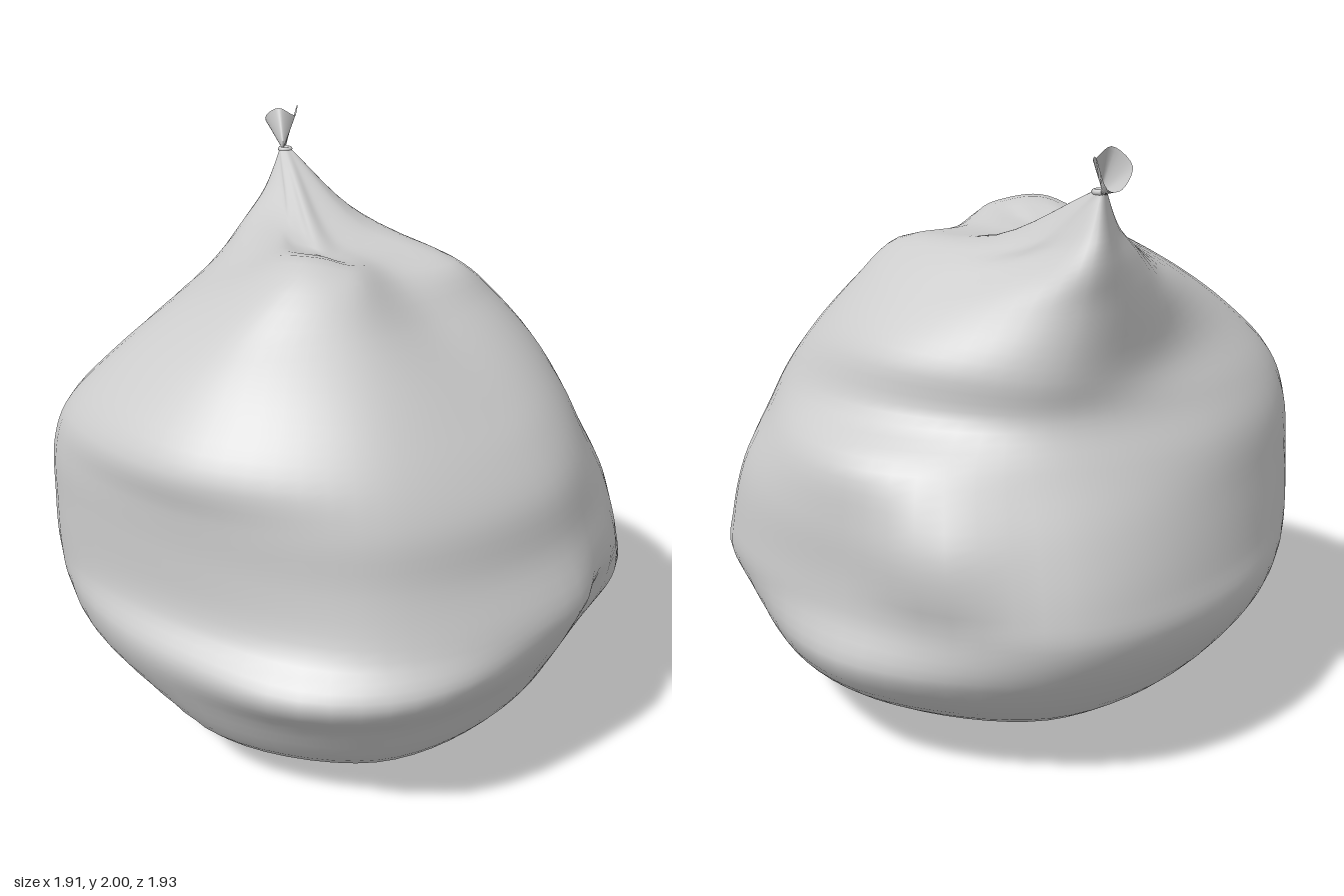
import * as THREE from 'three';

const AROUND = 64;
const V = (p) => new THREE.Vector3(...p);

// Smooth skin through rings of control points, listed bottom to top.
function loft(rings, steps, around, relief = () => 0) {
  const loops = rings.map((r) => {
    const c = new THREE.CatmullRomCurve3(r, true, 'centripetal');
    return Array.from({ length: around }, (_, j) => c.getPoint(j / around));
  });
  const rows = (rings.length - 1) * steps;
  const pos = new Float32Array((rows + 1) * around * 3);
  const index = [];
  for (let j = 0; j < around; j++) {
    const meridian = new THREE.CatmullRomCurve3(loops.map((l) => l[j]), false, 'centripetal');
    for (let i = 0; i <= rows; i++) {
      const p = meridian.getPoint(i / rows);
      const a = (j / around) * Math.PI * 2;
      const d = relief(i / steps, a);
      p.x += d * Math.cos(a);
      p.z += d * Math.sin(a);
      p.toArray(pos, (i * around + j) * 3);
      if (i < rows) {
        const k = (j + 1) % around;
        const A = i * around + j, B = i * around + k;
        index.push(A, A + around, B, B, A + around, B + around);
      }
    }
  }
  const g = new THREE.BufferGeometry();
  g.setAttribute('position', new THREE.BufferAttribute(pos, 3));
  g.setIndex(index);
  g.computeVertexNormals();
  return g;
}

// Level ring: radii at eight compass points, from +x round through +z.
function levelRing(y, radii, cx = 0, cz = 0) {
  return radii.map((r, k) => {
    const a = (k / 8) * Math.PI * 2;
    return new THREE.Vector3(cx + r * Math.cos(a), y, cz + r * Math.sin(a));
  });
}

// Lumps and dents of the contents: ring, angle, ring spread, angle spread, depth
const lumps = [
  [5.7, 5.93, 1, 0.2, 0.06],
  [3.5, 0.98, 1, 0.2, 0.04],
  [4.3, 1.33, 1.3, 0.14, -0.045],
  [4, 2.7, 0.8, 0.25, 0.035],
];

function sackRelief(ring, a) {
  // Pleats fade in below the knot and out again at the neck
  const w = Math.max(0, 1 - Math.abs(ring - 11.7) / 1.3);
  let d = 0.012 * w * Math.sin(6 * a + 0.6);
  for (const [r0, a0, rs, as, depth] of lumps) {
    d += depth * Math.exp(-(((ring - r0) / rs) ** 2) - ((a - a0) / as) ** 2);
  }
  return d;
}

export function createModel() {
  const group = new THREE.Group();
  const mat = new THREE.MeshStandardMaterial({
    color: 0xcccccc, roughness: 0.8, side: THREE.DoubleSide,
  });

  // Sagging body: height, then radii
  const belly = [
    [0.025, 0.33, 0.46, 0.5, 0.46, 0.38, 0.3, 0.2, 0.32],
    [0.15, 0.7, 0.74, 0.69, 0.76, 0.74, 0.58, 0.66, 0.72],
    [0.38, 0.95, 0.87, 0.84, 0.93, 0.9, 0.94, 0.9, 0.96],
    [0.54, 0.91, 0.95, 0.925, 1.035, 0.95, 1.01, 0.97, 1.03],
    [0.66, 0.9, 0.95, 0.965, 0.96, 0.88, 1.03, 0.95, 1.01],
    [0.85, 0.9, 0.91, 0.89, 0.9, 0.865, 1.03, 0.91, 0.93],
    [1.03, 0.87, 0.82, 0.84, 0.87, 0.87, 1.02, 0.86, 0.82],
    [1.17, 0.71, 0.75, 0.74, 0.81, 0.88, 0.97, 0.77, 0.745],
  ].map(([y, ...r]) => levelRing(y, r));

  // Shoulders and slumped top, drawn off-centre towards the knot
  const shoulder = [
    [0.67, 1.33, -0.05], [0.47, 1.33, 0.45], [0, 1.29, 0.61], [-0.49, 1.33, 0.48],
    [-0.75, 1.34, 0], [-0.57, 1.34, -0.57], [0.06, 1.3, -0.68], [0.52, 1.3, -0.545],
  ].map(V);
  const slope = [
    [0.55, 1.47, -0.1], [0.37, 1.5, 0.34], [0, 1.48, 0.37], [-0.36, 1.52, 0.31],
    [-0.58, 1.5, 0], [-0.4, 1.5, -0.43], [0.1, 1.48, -0.65], [0.47, 1.5, -0.58],
  ].map(V);
  const hump = [
    [0.44, 1.59, -0.2], [0.28, 1.615, 0.25], [0.02, 1.625, 0.18], [-0.2, 1.68, 0.17],
    [-0.29, 1.705, 0.04], [-0.2, 1.63, -0.29], [0.18, 1.63, -0.62], [0.45, 1.63, -0.6],
  ].map(V);
  const gather = [
    [0.415, 1.7, -0.4], [0.28, 1.67, -0.15], [0.12, 1.65, -0.13], [0, 1.65, -0.12],
    [0.01, 1.65, -0.22], [0.1, 1.69, -0.4], [0.27, 1.74, -0.6], [0.41, 1.74, -0.6],
  ].map(V);
  const neck = levelRing(1.86, Array(8).fill(0.022), 0.36, -0.58);
  const base = levelRing(0.005, Array(8).fill(0.001), 0.12, -0.05);

  const body = new THREE.Mesh(
    loft([base, ...belly, shoulder, slope, hump, gather, neck], 5, AROUND, sackRelief), mat);
  body.name = 'sackBody';
  group.add(body);

  // Tied knot
  const knot = new THREE.Mesh(new THREE.TorusGeometry(0.018, 0.009, 8, 16), mat);
  knot.name = 'knot';
  knot.position.set(0.362, 1.86, -0.582);
  knot.rotation.x = Math.PI / 2;
  group.add(knot);

  // Loose open end flaring out above the knot
  const rim = [
    [0.53, 1.9, -0.7], [0.525, 1.985, -0.66], [0.45, 1.965, -0.61],
    [0.385, 2, -0.63], [0.4, 1.95, -0.71], [0.46, 1.89, -0.71],
  ].map(V);
  const root = rim.map((p, k) => {
    const a = (k / 6) * Math.PI * 2;
    return new THREE.Vector3(0.362 + 0.018 * Math.cos(a), 1.86 + 0.012 * Math.sin(a), -0.585 - 0.01 * Math.cos(a));
  });
  const middle = rim.map((p, k) => root[k].clone().lerp(p, 0.6));
  const tail = new THREE.Mesh(loft([root, middle, rim], 4, 30), mat);
  tail.name = 'looseEnd';
  group.add(tail);

  return group;
}
